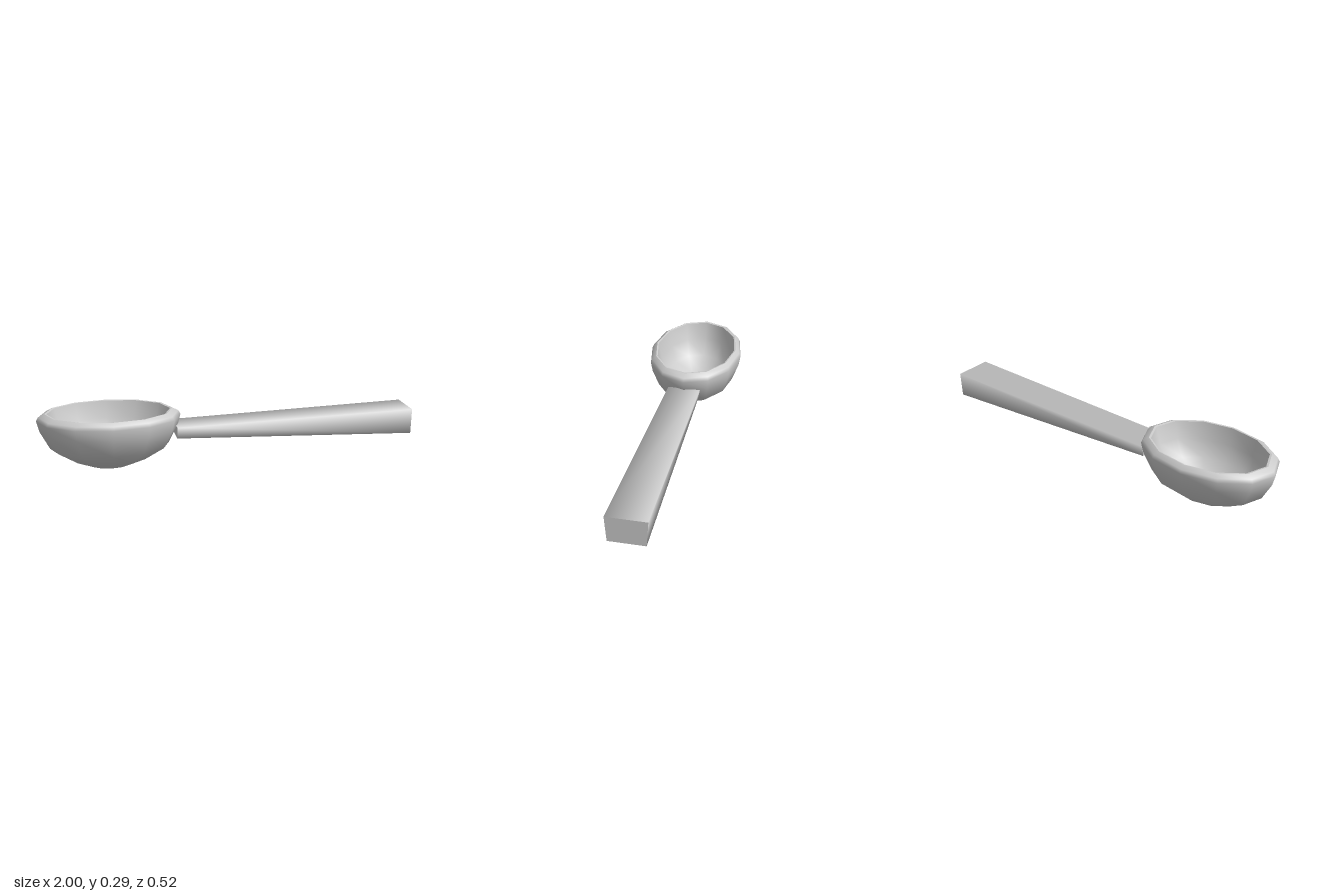
import * as THREE from 'three';

const material = new THREE.MeshStandardMaterial({ color: 0xcccccc });

// Twelve-sided oval shell turned from a [radius, height] profile
function ovalShell(name, profile) {
  const points = profile.map(([r, y]) => new THREE.Vector2(r, y));
  const geometry = new THREE.LatheGeometry(points, 12);
  geometry.scale(0.375 / 0.26, 1, 1);
  geometry.translate(-0.625, 0, 0);
  const mesh = new THREE.Mesh(geometry, material);
  mesh.name = name;
  return mesh;
}

// Four-sided bar along x, growing from a thin neck to a thick end
function taperedHandle() {
  const geometry = new THREE.CylinderGeometry(Math.SQRT2, Math.SQRT2, 2, 4, 1, false, Math.PI / 4);
  geometry.rotateZ(-Math.PI / 2);
  const pos = geometry.attributes.position;
  for (let i = 0; i < pos.count; i++) {
    const t = pos.getX(i) > 0 ? 1 : 0;
    const v = Math.round(pos.getY(i));
    const w = Math.round(pos.getZ(i));
    const y = THREE.MathUtils.lerp(0.175, 0.174, t) + v * THREE.MathUtils.lerp(0.03, 0.068, t);
    const halfWidth = THREE.MathUtils.lerp(0.084, 0.099, t) + v * 0.005;
    pos.setXYZ(i, t ? 1 : -0.28, y, w * halfWidth);
  }
  const mesh = new THREE.Mesh(geometry, material);
  mesh.name = 'handle';
  return mesh;
}

export function createModel() {
  const model = new THREE.Group();
  model.name = 'scoop';

  // Bowl: flat foot, rounded wall and bevelled lip
  const outer = ovalShell('bowlOutside', [
    [0.07, 0], [0.14, 0.04], [0.215, 0.105], [0.25, 0.2], [0.26, 0.257], [0.252, 0.277], [0.23, 0.293],
  ]);
  const foot = ovalShell('bowlFoot', [[0, 0], [0.07, 0]]);
  const lip = ovalShell('bowlLip', [[0.23, 0.293], [0.222, 0.291]]);
  const inner = ovalShell('bowlInside', [
    [0.222, 0.291], [0.205, 0.2], [0.17, 0.11], [0.1, 0.052], [0.05, 0.032], [0, 0.03],
  ]);

  model.add(outer, foot, lip, inner, taperedHandle());
  return model;
}
